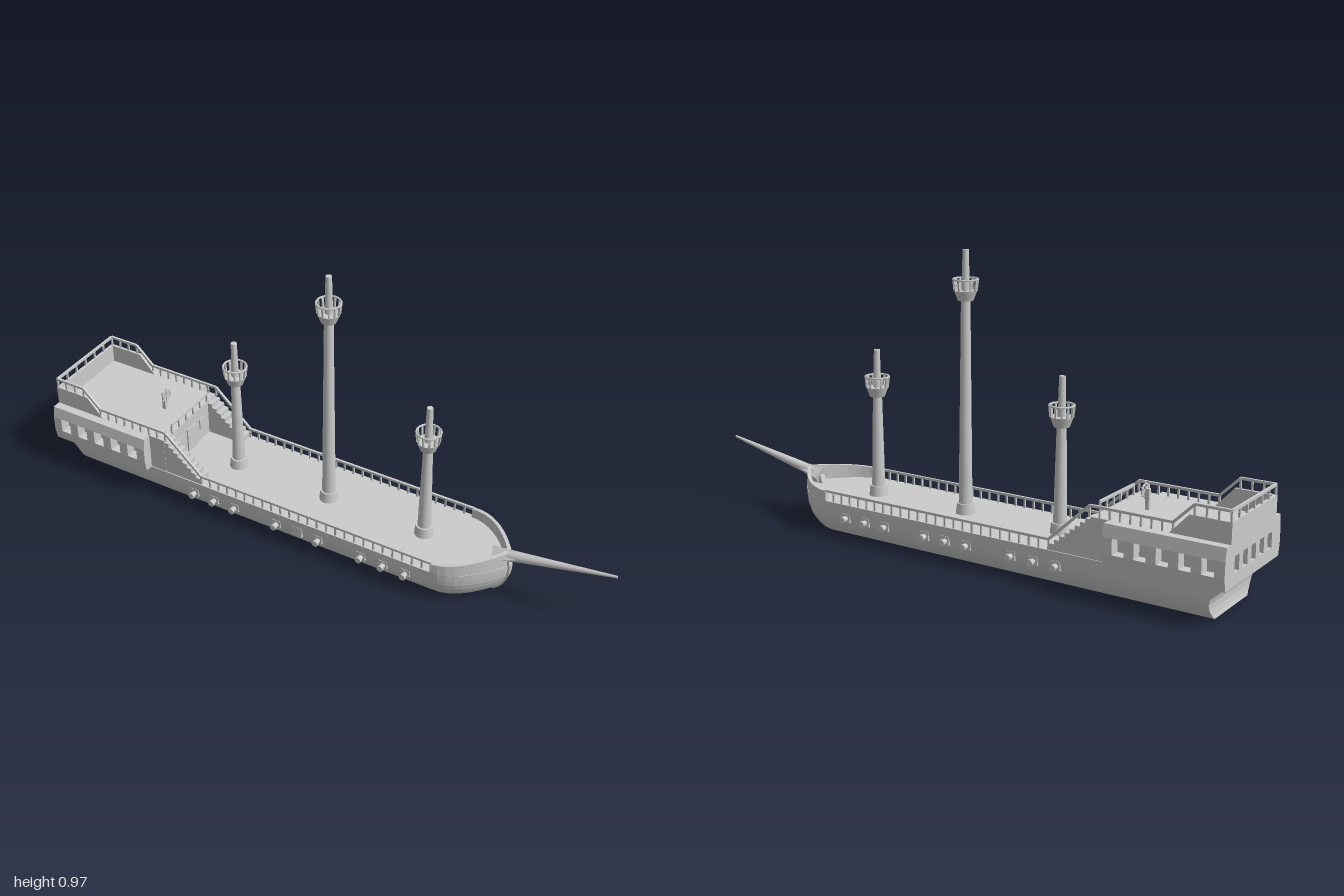
import * as THREE from 'three';

const mat = new THREE.MeshStandardMaterial({ color: 0xcccccc, flatShading: true });
const smooth = new THREE.MeshStandardMaterial({ color: 0xcccccc });
const V = (x, y, z) => new THREE.Vector3(x, y, z);
const DECK = 0.115, QUARTER = 0.245, SIDE = 0.157;

function add(parent, name, geo, material = mat) {
  const m = new THREE.Mesh(geo, material);
  m.name = name;
  parent.add(m);
  return m;
}

// Box given by its extents
function box(parent, name, x0, x1, y0, y1, z0, z1) {
  const m = add(parent, name, new THREE.BoxGeometry(x1 - x0, y1 - y0, z1 - z0));
  m.position.set((x0 + x1) / 2, (y0 + y1) / 2, (z0 + z1) / 2);
  return m;
}

// Square beam between two points
function beam(parent, name, a, b, w = 0.008) {
  const m = add(parent, name, new THREE.BoxGeometry(w, w, a.distanceTo(b)));
  m.position.copy(a).lerp(b, 0.5);
  m.lookAt(b);
  return m;
}

// Tapered round spar between two points
function spar(parent, name, a, b, ra, rb, sides = 16) {
  const m = add(parent, name, new THREE.CylinderGeometry(rb, ra, a.distanceTo(b), sides), sides > 6 ? smooth : mat);
  m.position.copy(a).lerp(b, 0.5);
  m.quaternion.setFromUnitVectors(V(0, 1, 0), b.clone().sub(a).normalize());
  return m;
}

// Skin over closed rings of points, capped at both ends
function loft(rings) {
  const n = rings[0].length, pos = [], idx = [];
  rings.forEach(r => r.forEach(p => pos.push(p.x, p.y, p.z)));
  for (let j = 0; j < rings.length - 1; j++)
    for (let i = 0; i < n; i++) {
      const a = j * n + i, b = j * n + (i + 1) % n;
      idx.push(a, b, b + n, a, b + n, a + n);
    }
  [0, rings.length - 1].forEach((j, end) => {
    const c = rings[j].reduce((s, p) => s.add(p), V(0, 0, 0)).divideScalar(n);
    const k = pos.length / 3;
    pos.push(c.x, c.y, c.z);
    for (let i = 0; i < n; i++) {
      const a = j * n + i, b = j * n + (i + 1) % n;
      if (end) idx.push(k, a, b); else idx.push(k, b, a);
    }
  });
  const g = new THREE.BufferGeometry();
  g.setAttribute('position', new THREE.Float32BufferAttribute(pos, 3));
  g.setIndex(idx);
  g.computeVertexNormals();
  return g;
}

// Extruded side outline, centred on z
function slab(parent, name, pts, depth, z = 0) {
  const shape = new THREE.Shape(pts.map(p => new THREE.Vector2(...p)));
  const m = add(parent, name, new THREE.ExtrudeGeometry(shape, { depth, bevelEnabled: false }));
  m.position.z = z - depth / 2;
  return m;
}

// Handrail with evenly spaced posts below it
function rail(parent, a, b, gap, h = 0.035) {
  beam(parent, 'handrail', a, b);
  const n = Math.round(a.distanceTo(b) / gap);
  for (let i = 0; gap && i <= n; i++) {
    const p = a.clone().lerp(b, i / n);
    box(parent, 'railPost', p.x - 0.003, p.x + 0.003, p.y - h, p.y, p.z - 0.003, p.z + 0.003);
  }
}

// Hull levels: height, stern x, bow x, half width
const LEVELS = [
  [0, -0.94, 0.6, 0.113], [0.012, -0.937, 0.615, 0.125], [0.03, -0.935, 0.63, 0.139],
  [0.05, -0.936, 0.64, 0.149], [0.07, -0.942, 0.647, 0.155], [0.09, -0.957, 0.65, 0.158],
  [0.105, -0.98, 0.651, 0.159], [DECK, -1, 0.651, 0.16],
];
const BOW = 0.45, STEPS = 12;

// Half outline of the bow, from the straight side to the stem
function bowSide(y, xb, w) {
  return Array.from({ length: STEPS + 1 }, (_, i) => {
    const t = Math.sin(i / STEPS * Math.PI / 2);
    return V(BOW + (xb - BOW) * t, y, w * (1 - 0.92 * t * t));
  });
}
const mirrored = side => [...side, ...side.map(p => V(p.x, p.y, -p.z)).reverse()];

function makeMast(x, nestY, topY) {
  const g = new THREE.Group();
  g.name = 'mast';
  spar(g, 'mastCollar', V(0, DECK, 0), V(0, 0.15, 0), 0.032, 0.028);
  spar(g, 'lowerMast', V(0, DECK, 0), V(0, nestY + 0.02, 0), 0.023, 0.015);
  spar(g, 'topMast', V(0, nestY, 0), V(0, topY, 0), 0.014, 0.01);
  spar(g, 'crowsNestBowl', V(0, nestY, 0), V(0, nestY + 0.032, 0), 0.025, 0.037);
  for (let i = 0; i < 12; i++) {
    const a = i / 12 * Math.PI * 2, c = Math.cos(a), s = Math.sin(a);
    beam(g, 'nestPost', V(c * 0.035, nestY + 0.03, s * 0.035), V(c * 0.039, nestY + 0.067, s * 0.039), 0.006);
  }
  const ring = add(g, 'nestRing', new THREE.TorusGeometry(0.039, 0.0035, 6, 24), smooth);
  ring.rotation.x = Math.PI / 2;
  ring.position.y = nestY + 0.067;
  g.position.x = x;
  return g;
}

export function createModel() {
  const ship = new THREE.Group();
  ship.name = 'sailingShip';

  // Hull, stem and bow bulwark
  add(ship, 'hull', loft(LEVELS.map(([y, xs, xb, w]) => mirrored([V(xs, y, w), ...bowSide(y, xb, w)]))));
  slab(ship, 'stem', [[0.55, 0], ...LEVELS.map(l => [l[2] + 0.007, l[0]]), [0.648, 0.15], [0.6, 0.15]], 0.022);
  const outline = mirrored(bowSide(0, 0.648, 0.16));
  add(ship, 'bowBulwark', loft(outline.map(p => {
    const ix = BOW + (p.x - BOW) * 0.93, iz = p.z * 0.92, top = 0.148 + (p.x - BOW) * 0.1;
    return [V(p.x, top, p.z), V(p.x, DECK, p.z), V(ix, DECK, iz), V(ix, top, iz)];
  })));
  spar(ship, 'bowspritBase', V(0.6, 0.137, 0), V(0.7, 0.161, 0), 0.034, 0.014, 4);
  spar(ship, 'bowsprit', V(0.61, 0.143, 0), V(0.999, 0.22, 0), 0.02, 0.004);

  // Stern castle with a recessed row of stern windows
  box(ship, 'sternCastle', -0.985, -0.555, DECK, QUARTER, -SIDE, SIDE);
  box(ship, 'sternSill', -1, -0.985, DECK, 0.155, -SIDE, SIDE);
  box(ship, 'sternLintel', -1, -0.985, 0.205, QUARTER, -SIDE, SIDE);
  for (let i = 0; i < 6; i++) {
    const z = -0.143 + i * 0.0572;
    box(ship, 'sternPillar', -1, -0.985, 0.155, 0.205, z - 0.013, z + 0.013);
  }
  box(ship, 'sternBulwark', -1, -0.99, QUARTER, 0.31, -SIDE, SIDE);
  rail(ship, V(-0.996, 0.342, -0.153), V(-0.996, 0.342, 0.153), 0.051);

  // Forward bulkhead door and rail
  box(ship, 'door', -0.555, -0.55, DECK, 0.205, -0.026, 0.026);
  for (const z of [-0.065, 0.065]) box(ship, 'bulkheadWindow', -0.555, -0.551, 0.16, 0.2, z - 0.016, z + 0.016);
  rail(ship, V(-0.557, 0.278, -0.105), V(-0.557, 0.278, 0.105), 0.042);

  for (const s of [-1, 1]) {
    const flank = new THREE.Group();
    flank.name = s > 0 ? 'frontFlank' : 'backFlank';
    ship.add(flank);
    const zr = s * 0.153;

    // Side gallery with windows, its strips leaning in above and below
    for (const [y0, y1, w0, w1] of [[DECK, 0.155, 0.186, 0.193], [0.205, QUARTER, 0.193, 0.186]]) {
      const ring = x => [V(x, y1, s * 0.15), V(x, y1, s * w1), V(x, y0, s * w0), V(x, y0, s * 0.15)];
      add(flank, 'galleryStrip', loft(s > 0 ? [ring(-1), ring(-0.615)] : [ring(-0.615), ring(-1)]));
    }
    for (let i = 0; i < 6; i++) {
      const x = -0.984 + i * 0.0706;
      box(flank, 'galleryPillar', x - 0.016, x + 0.016, 0.155, 0.205, s * 0.172 - 0.021, s * 0.172 + 0.021);
    }

    // Raised stern bulwark and handrails stepping down to the main deck
    slab(flank, 'sideBulwark', [[-1, QUARTER], [-0.81, QUARTER], [-0.87, 0.31], [-1, 0.31]], 0.01, s * 0.152);
    rail(flank, V(-0.996, 0.342, zr), V(-0.885, 0.342, zr), 0.037);
    rail(flank, V(-0.885, 0.342, zr), V(-0.82, 0.278, zr), 0);
    rail(flank, V(-0.82, 0.278, zr), V(-0.55, 0.278, zr), 0.034);
    rail(flank, V(-0.55, 0.278, zr), V(-0.412, 0.148, zr), 0);
    rail(flank, V(-0.412, 0.148, zr), V(0.455, 0.148, zr), 0.0347);

    // Stairs
    for (let i = 0; i < 8; i++) {
      const x = -0.555 + i * 0.0175;
      box(flank, 'stair', x, x + 0.0175, DECK, QUARTER - 0.008 - i * 0.0145, s * 0.131 - 0.025, s * 0.131 + 0.025);
    }

    // Gun ports; one on the front side is closed
    for (const x of [-0.44, -0.36, -0.28, -0.115, -0.035, 0.045, 0.205, 0.285, 0.365]) {
      const closed = s > 0 && x === -0.035, h = closed ? 0.019 : 0.015;
      box(flank, 'gunPort', x - h, x + h, 0.07 - h, 0.07 + h, s * 0.153 - 0.006, s * 0.153 + 0.006);
      if (closed) continue;
      spar(flank, 'cannon', V(x, 0.068, s * 0.15), V(x, 0.068, s * 0.178), 0.01, 0.008, 12);
      spar(flank, 'cannonMuzzle', V(x, 0.068, s * 0.172), V(x, 0.068, s * 0.18), 0.011, 0.011, 12);
    }
  }

  // Steering wheel
  box(ship, 'wheelPost', -0.666, -0.654, QUARTER, 0.31, -0.006, 0.006);
  const wheel = add(ship, 'wheel', new THREE.TorusGeometry(0.019, 0.003, 6, 20), smooth);
  wheel.rotation.y = Math.PI / 2;
  wheel.position.set(-0.65, 0.303, 0);
  for (let i = 0; i < 3; i++) {
    const a = i * Math.PI / 3, c = Math.cos(a) * 0.026, d = Math.sin(a) * 0.026;
    beam(ship, 'wheelSpoke', V(-0.65, 0.303 - c, -d), V(-0.65, 0.303 + c, d), 0.004);
  }

  // Masts
  ship.add(makeMast(-0.36, 0.455, 0.613), makeMast(-0.005, 0.81, 0.97), makeMast(0.35, 0.455, 0.613));
  return ship;
}
